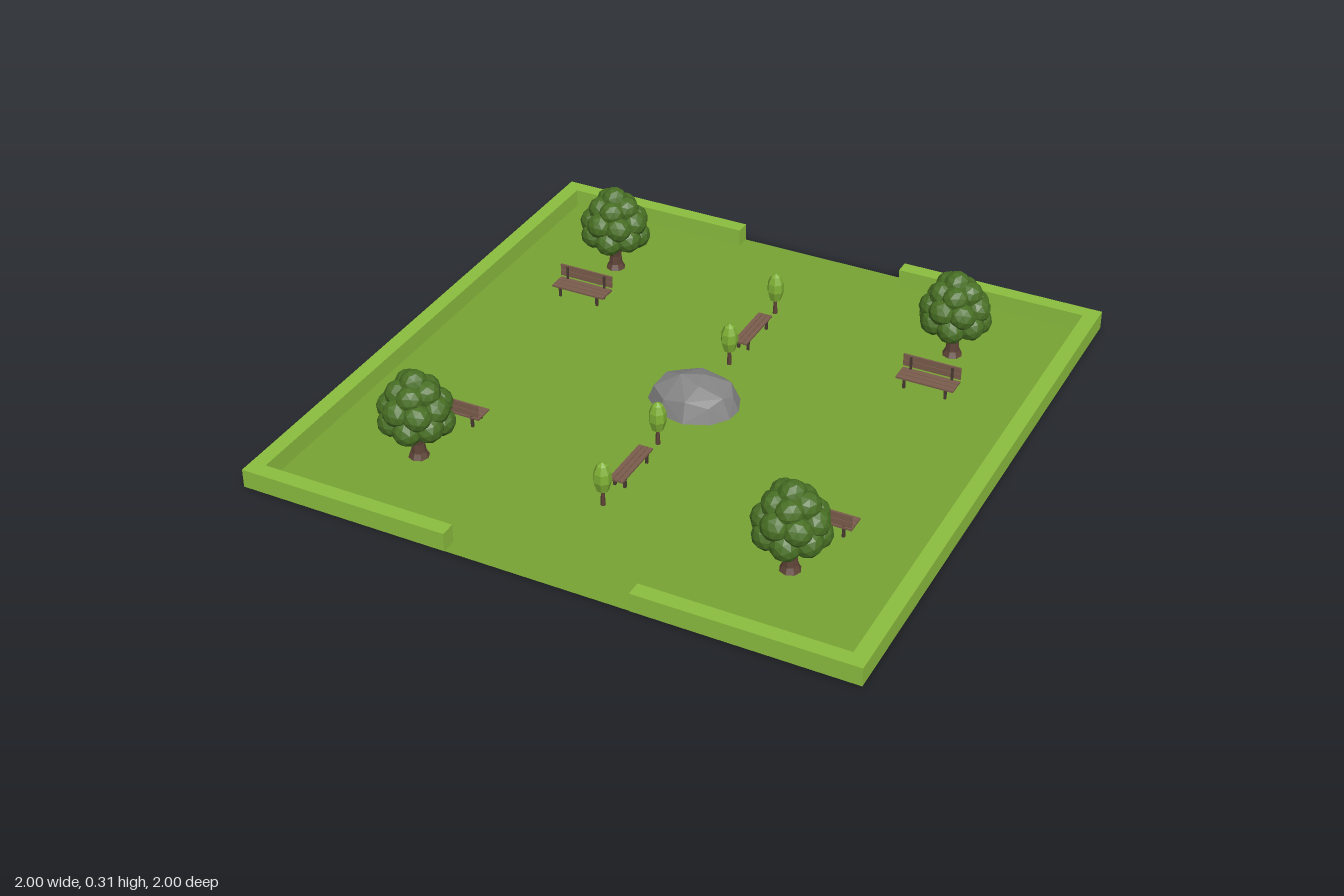
import * as THREE from 'three';
import { ConvexGeometry } from 'three/addons/geometries/ConvexGeometry.js';

const mat = (name, color, flat = true) => {
  const m = new THREE.MeshStandardMaterial({ color, flatShading: flat });
  m.name = name;
  return m;
};

export function createModel() {
  const M = {
    lawn: mat('lawn green', 0x77a333),
    hedge: mat('hedge lime', 0x8cbe3f),
    leaf: mat('tree leaf green', 0x486f24),
    sapling: mat('sapling green', 0x7fb035),
    bark: mat('bark brown', 0x5d4337),
    wood: mat('bench wood', 0x7b5c4c),
    leg: mat('bench leg brown', 0x4a3a33),
    rock: mat('rock grey', 0x858585),
  };
  M.lawn.side = THREE.DoubleSide;

  const park = new THREE.Group();
  park.name = 'park';
  const add = (parent, name, geo, material, x = 0, y = 0, z = 0) => {
    const mesh = new THREE.Mesh(geo, material);
    mesh.name = name;
    mesh.position.set(x, y, z);
    parent.add(mesh);
    return mesh;
  };
  const box = (parent, name, material, w, h, d, x, y, z) =>
    add(parent, name, new THREE.BoxGeometry(w, h, d), material, x, y, z);
  const group = (name, x, z) => {
    const g = new THREE.Group();
    g.name = name;
    g.position.set(x, 0, z);
    park.add(g);
    return g;
  };

  // Lawn: a single sheet
  add(park, 'lawn', new THREE.PlaneGeometry(2, 2).rotateX(-Math.PI / 2), M.lawn, 0, 0.001, 0);

  // Low hedges, with an opening at the front and the back
  for (const s of [-1, 1]) {
    box(park, 'sideHedge', M.hedge, 0.05, 0.062, 2, s * 0.975, 0.031, 0);
    for (const t of [-1, 1])
      box(park, 'gateHedge', M.hedge, 0.65, 0.062, 0.05, s * 0.625, 0.031, t * 0.975);
  }

  // Tree: flared trunk and a crown of faceted clumps
  const trunk = new THREE.LatheGeometry(
    [[0.034, 0], [0.024, 0.02], [0.02, 0.05], [0.024, 0.08], [0.034, 0.11]].map(p => new THREE.Vector2(...p)), 8);
  const clump = new THREE.IcosahedronGeometry(1, 1);
  const crownRings = [
    // count, ring radius, height, clump radius, turn
    [1, 0, 0.17, 0.085, 0],
    [7, 0.076, 0.138, 0.045, 0.2],
    [7, 0.074, 0.187, 0.044, 0.65],
    [5, 0.046, 0.235, 0.042, 0.3],
    [1, 0, 0.266, 0.042, 0.5],
  ];
  function tree(x, z) {
    const g = group('tree', x, z);
    add(g, 'trunk', trunk, M.bark);
    for (const [n, r, y, size, turn] of crownRings)
      for (let i = 0; i < n; i++) {
        const a = turn + (i / n) * Math.PI * 2;
        const c = add(g, 'leafClump', clump, M.leaf, r * Math.sin(a), y + 0.007 * Math.sin(i * 2.4), r * Math.cos(a));
        c.scale.set(size, size * 1.05, size);
        c.rotation.set(i * 0.9, a, y * 7);
      }
  }

  // Bench: slatted seat along x on two leg frames, backrest on the -z side
  function bench(name, x, z, turn, width, hasBack) {
    const g = group(name, x, z);
    g.rotation.y = turn;
    const slats = 3, pitch = width / slats;
    for (let i = 0; i < slats; i++)
      box(g, 'seatSlat', M.wood, 0.195, 0.006, pitch - 0.002, 0, 0.037, (i - 1) * pitch);
    for (const s of [-1, 1]) {
      box(g, 'seatRail', M.leg, 0.008, 0.006, width - 0.006, s * 0.07, 0.031, 0);
      for (const t of [-1, 1])
        box(g, 'leg', M.leg, 0.008, 0.03, 0.008, s * 0.07, 0.015, t * (width / 2 - 0.008));
      if (hasBack) box(g, 'backPost', M.leg, 0.008, 0.05, 0.004, s * 0.07, 0.06, -width / 2 + 0.005);
    }
    if (hasBack)
      for (const y of [0.057, 0.079])
        box(g, 'backSlat', M.wood, 0.195, 0.02, 0.006, 0, y, -width / 2);
  }

  // Sapling: thin stem and a pointed faceted crown
  const saplingCrown = new THREE.LatheGeometry(
    [[0, 0.046], [0.019, 0.056], [0.029, 0.09], [0.027, 0.12], [0.017, 0.144], [0, 0.155]]
      .map(p => new THREE.Vector2(...p)), 7);
  const stem = new THREE.CylinderGeometry(0.005, 0.008, 0.06, 6);
  function sapling(z) {
    const g = group('sapling', 0, z);
    add(g, 'stem', stem, M.bark, 0, 0.03, 0);
    add(g, 'crown', saplingCrown, M.sapling).rotation.y = 0.3;
  }

  for (const sz of [-1, 1]) {
    for (const sx of [-1, 1]) {
      tree(sx * 0.62, sz * 0.63);
      bench('backedBench', sx * 0.625, sz * 0.4, sz > 0 ? Math.PI : 0, 0.066, true);
    }
    bench('flatBench', 0, sz * 0.425, Math.PI / 2, 0.05, false);
    sapling(sz * 0.25);
    sapling(sz * 0.6);
  }

  // Boulder: hull of a base outline, a shoulder and a low ridge
  const outline = [[-0.145, 0.04], [-0.143, -0.04], [-0.1, -0.1], [-0.03, -0.128], [0.06, -0.12], [0.12, -0.085],
    [0.145, -0.02], [0.14, 0.035], [0.1, 0.09], [0.02, 0.124], [-0.07, 0.108]];
  const points = [];
  outline.forEach(([x, z], i) => {
    points.push(new THREE.Vector3(x, 0, z));
    const k = i % 2 ? 0.8 : 0.87;
    points.push(new THREE.Vector3(x * k, i % 2 ? 0.066 : 0.05, z * k));
  });
  for (const p of [[-0.045, 0.1, 0.005], [0.02, 0.093, -0.035], [0.03, 0.09, 0.03]])
    points.push(new THREE.Vector3(...p));
  add(park, 'boulder', new ConvexGeometry(points), M.rock);

  return park;
}
